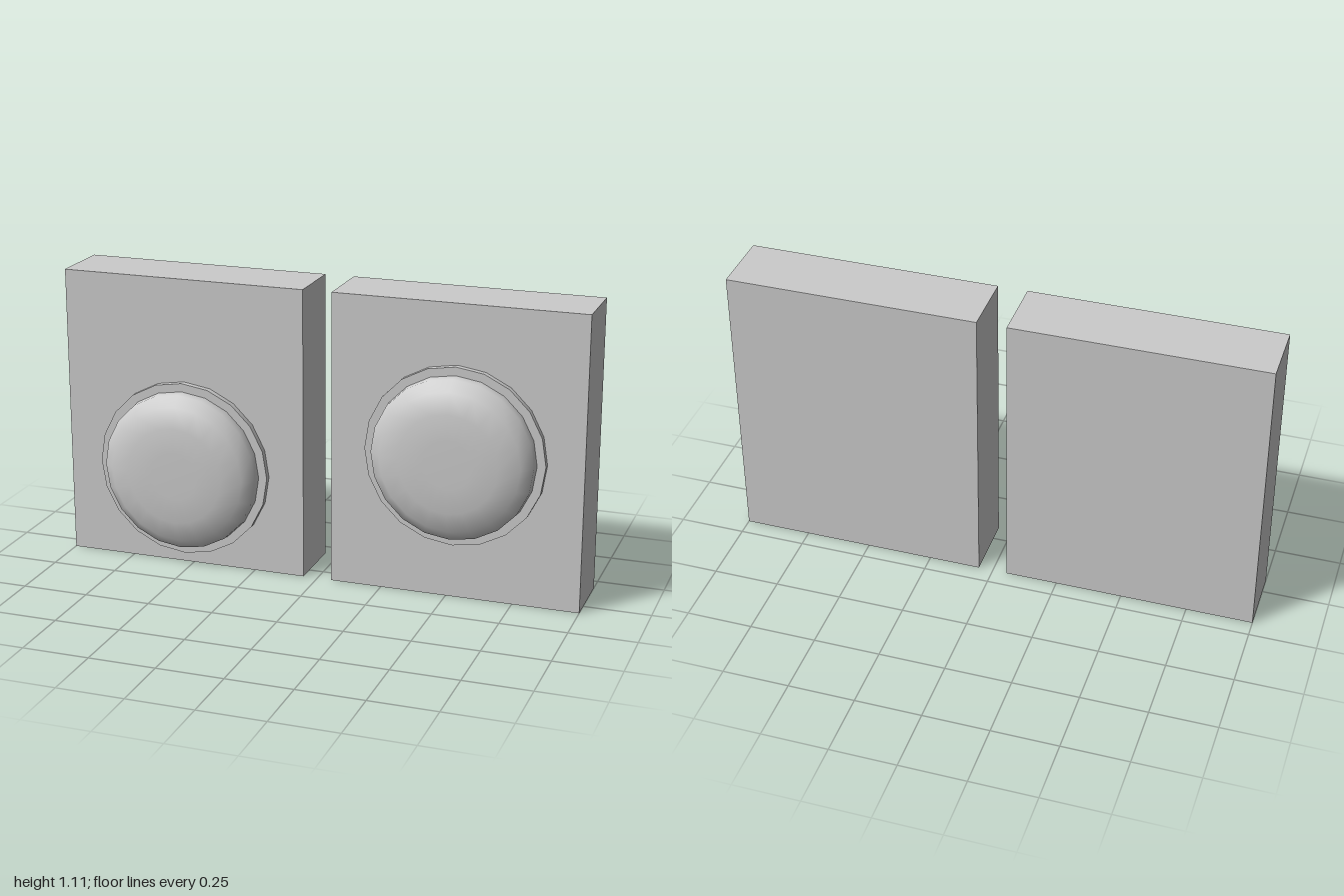
import * as THREE from 'three';

const SIDES = 20;
const Z_BACK = -0.183, Z_FACE = 0.067, HEIGHT = 1.11, WIDTH = 0.945;

export function createModel() {
  const model = new THREE.Group();
  const material = new THREE.MeshStandardMaterial({ color: 0xcccccc });

  const add = (parent, name, geometry, x, y, z) => {
    const mesh = new THREE.Mesh(geometry, material);
    mesh.name = name;
    mesh.position.set(x, y, z);
    parent.add(mesh);
  };

  // Slab with a round flange and a domed button on its front
  const buildPanel = (name, side, buttonY) => {
    const panel = new THREE.Group();
    panel.name = name;
    panel.position.x = side * (1 - WIDTH / 2);
    model.add(panel);

    const depth = Z_FACE - Z_BACK;
    add(panel, 'slab', new THREE.BoxGeometry(WIDTH, HEIGHT, depth), 0, HEIGHT / 2, (Z_FACE + Z_BACK) / 2);

    const flange = new THREE.CylinderGeometry(0.337, 0.337, 0.024, SIDES);
    flange.rotateX(Math.PI / 2);
    add(panel, 'flange', flange, 0, buttonY, Z_FACE + 0.012);

    // Radius and height above the slab face, from rim to crown
    const profile = [
      [0.305, 0], [0.305, 0.024], [0.302, 0.06], [0.262, 0.092],
      [0.186, 0.113], [0.09, 0.116], [0, 0.116],
    ].map(([r, h]) => new THREE.Vector2(r, h));
    const dome = new THREE.LatheGeometry(profile, SIDES);
    dome.rotateX(Math.PI / 2);
    add(panel, 'button', dome, 0, buttonY, Z_FACE);
  };

  buildPanel('rightPanel', -1, 0.38);
  buildPanel('leftPanel', 1, 0.547);
  return model;
}
